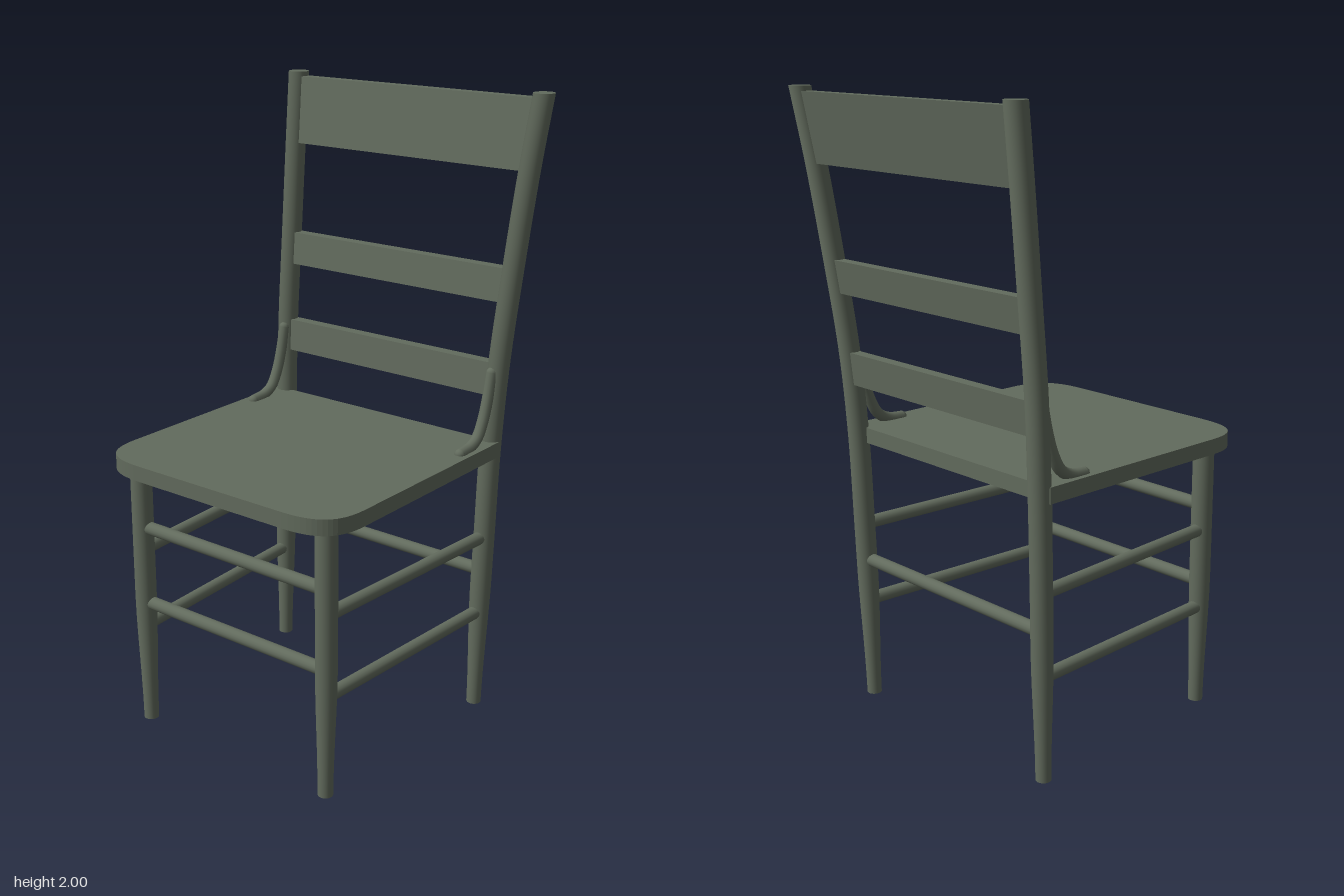
import * as THREE from 'three';

const material = new THREE.MeshStandardMaterial({ color: 0x626b5d });

// Rear post axis: x, y, z (for the +x side)
const postCurve = new THREE.CatmullRomCurve3([
  [0.41, 0, -0.32], [0.412, 0.3, -0.327], [0.416, 0.6, -0.336], [0.419, 0.9, -0.347],
  [0.427, 1.18, -0.367], [0.44, 1.475, -0.405], [0.456, 1.77, -0.447], [0.472, 2, -0.485],
].map((p) => new THREE.Vector3(...p)));
const postSamples = postCurve.getPoints(140);

// Centre of the rear post at a given height
function postAt(y) {
  const i = postSamples.findIndex((p) => p.y >= y - 1e-6);
  if (i <= 0) return postSamples[i < 0 ? postSamples.length - 1 : 0].clone();
  const a = postSamples[i - 1], b = postSamples[i];
  return a.clone().lerp(b, (y - a.y) / (b.y - a.y));
}

// Legs narrow toward the foot
const legRadius = (y) => 0.024 + 0.01 * THREE.MathUtils.smoothstep(y, 0, 0.45);

export function createModel() {
  const group = new THREE.Group();

  const add = (name, geometry) => {
    const mesh = new THREE.Mesh(geometry, material);
    mesh.name = name;
    group.add(mesh);
    return mesh;
  };

  // Upright with a bent axis and varying radius
  const upright = (name, height, rows, centre) => {
    const geo = new THREE.CylinderGeometry(1, 1, height, 24, rows);
    geo.translate(0, height / 2, 0);
    const pos = geo.attributes.position;
    for (let i = 0; i < pos.count; i++) {
      const y = pos.getY(i), c = centre(y), r = legRadius(y);
      pos.setXYZ(i, c.x + pos.getX(i) * r, y, c.z + pos.getZ(i) * r);
    }
    return add(name, geo);
  };

  // Round rod between two points
  const rod = (name, a, b, r = 0.021) => {
    const dir = b.clone().sub(a);
    const mesh = add(name, new THREE.CylinderGeometry(r, r, dir.length(), 16));
    mesh.position.copy(a).add(b).multiplyScalar(0.5);
    mesh.quaternion.setFromUnitVectors(new THREE.Vector3(0, 1, 0), dir.normalize());
  };

  // Seat board: square at the back, rounded at the front corners
  const w = 0.455, back = 0.34, front = -0.52;
  const outline = new THREE.Shape();
  outline.moveTo(-w, back);
  outline.lineTo(-w, -0.36);
  outline.bezierCurveTo(-w, -0.47, -0.41, front, -0.28, front);
  outline.lineTo(0.28, front);
  outline.bezierCurveTo(0.41, front, w, -0.47, w, -0.36);
  outline.lineTo(w, back);
  outline.closePath();
  const seat = new THREE.ExtrudeGeometry(outline, { depth: 0.05, bevelEnabled: false, curveSegments: 16 });
  seat.rotateX(-Math.PI / 2);
  seat.translate(0, 0.88, 0);
  add('seat', seat);

  const frontX = (y) => 0.365 + 0.003 * Math.min(y / 0.4, 1);
  for (const s of [1, -1]) {
    const side = s > 0 ? 'left' : 'right';

    // Legs and rear posts
    upright(`${side}FrontLeg`, 0.89, 12, (y) => new THREE.Vector3(s * frontX(y), y, 0.425));
    upright(`${side}RearPost`, 2, 40, (y) => {
      const c = postAt(y);
      c.x *= s;
      return c;
    });

    // Side stretchers
    for (const y of [0.6, 0.335]) {
      const rear = postAt(y);
      rear.x *= s;
      rod(`${side}Stretcher`, new THREE.Vector3(s * 0.37, y, 0.425), rear);
    }

    // Curved brace from the seat to the rear post
    const path = new THREE.CatmullRomCurve3([
      [-0.172, 0.93], [-0.225, 0.936], [-0.265, 0.957], [-0.295, 1.005], [-0.319, 1.075], [-0.337, 1.152],
    ].map(([z, y]) => new THREE.Vector3(s * 0.42, y, z)));
    add(`${side}Brace`, new THREE.TubeGeometry(path, 24, 0.018, 12));
    for (const t of [0, 1]) {
      add(`${side}BraceEnd`, new THREE.SphereGeometry(0.018, 12, 8)).position.copy(path.getPoint(t));
    }
  }

  // Front and rear stretchers
  for (const y of [0.68, 0.42]) {
    rod('frontStretcher', new THREE.Vector3(-0.368, y, 0.425), new THREE.Vector3(0.368, y, 0.425));
  }
  const r = postAt(0.48);
  rod('rearStretcher', new THREE.Vector3(-r.x, r.y, r.z), r);

  // Back rails follow the lean and spread of the posts
  for (const [name, y0, y1] of [['topRail', 1.77, 1.985], ['middleRail', 1.37, 1.475], ['lowerRail', 1.075, 1.18]]) {
    const geo = new THREE.BoxGeometry(2, y1 - y0, 0.038);
    geo.translate(0, (y0 + y1) / 2, 0);
    const pos = geo.attributes.position;
    for (let i = 0; i < pos.count; i++) {
      const c = postAt(pos.getY(i));
      pos.setX(i, pos.getX(i) * c.x);
      pos.setZ(i, pos.getZ(i) + c.z);
    }
    geo.computeVertexNormals();
    add(name, geo);
  }

  return group;
}
